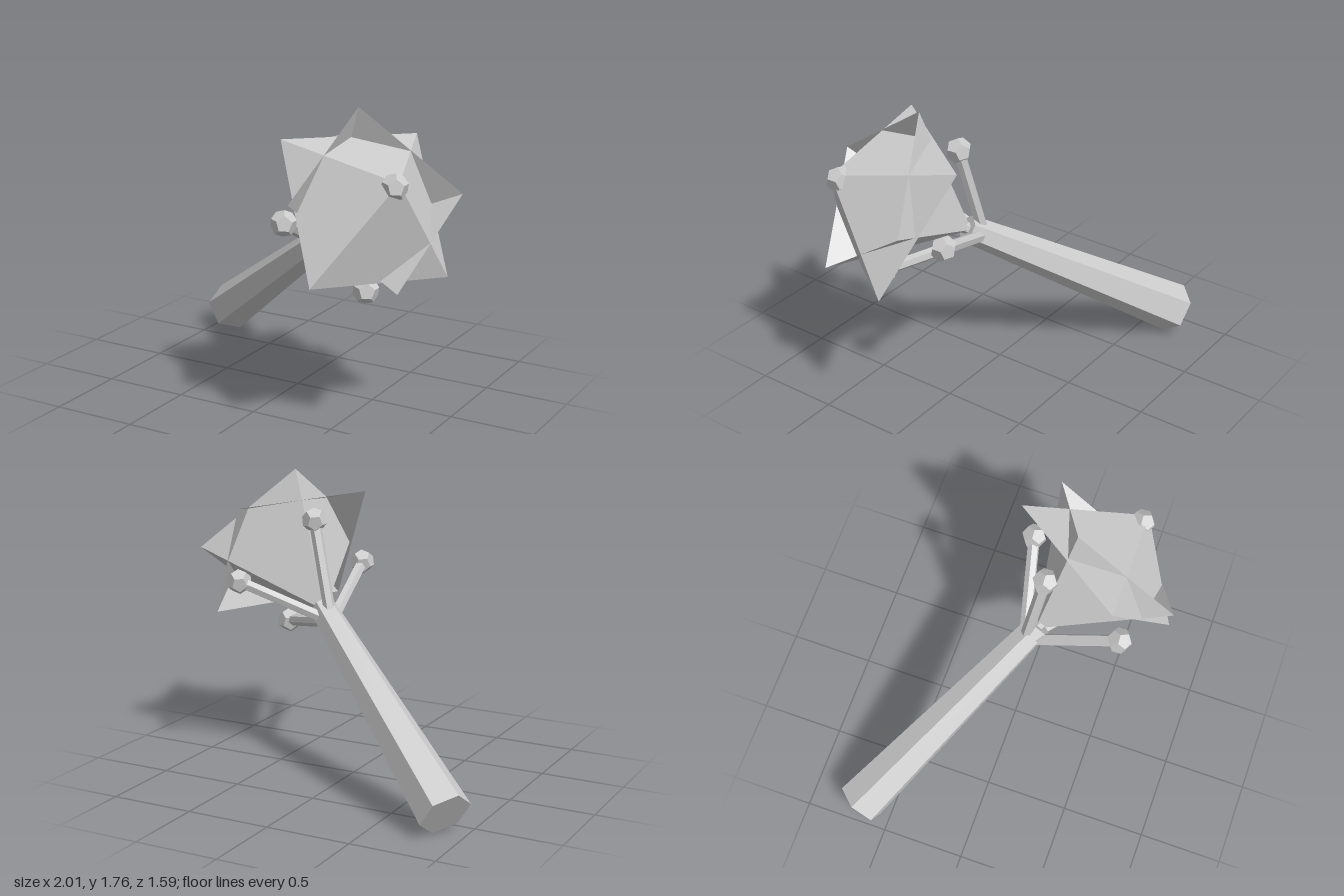
import * as THREE from 'three';

const solid = new THREE.MeshStandardMaterial({ color: 0xcccccc, flatShading: true });
const thin = new THREE.MeshStandardMaterial({ color: 0xcccccc, flatShading: true, side: THREE.DoubleSide });

function addMesh(parent, name, geometry, material = solid) {
  const mesh = new THREE.Mesh(geometry, material);
  mesh.name = name;
  parent.add(mesh);
  return mesh;
}

// Tapered rod between two points
function addRod(parent, name, from, to, r0, r1, sides) {
  const dir = to.clone().sub(from);
  const rod = addMesh(parent, name, new THREE.CylinderGeometry(r1, r0, dir.length(), sides));
  rod.position.copy(from).addScaledVector(dir, 0.5);
  rod.quaternion.setFromUnitVectors(new THREE.Vector3(0, 1, 0), dir.normalize());
  return rod;
}

export function createModel() {
  const group = new THREE.Group();
  group.name = 'flower';

  // The flower is built upright along y, then leaned over
  const plant = new THREE.Group();
  plant.name = 'leaningFlower';
  group.add(plant);

  // Stem: tapered six-sided rod
  const stem = addMesh(plant, 'stem', new THREE.CylinderGeometry(0.08, 0.152, 1.6, 6));
  stem.position.y = 0.8;

  // Petals opening forward: hollow four-sided cup
  const cupHeight = 0.68;
  const cup = addMesh(plant, 'petalCup', new THREE.ConeGeometry(0.525, cupHeight, 4, 1, true), thin);
  cup.rotation.set(Math.PI, Math.PI / 4, 0);
  cup.position.y = 2.25 - cupHeight / 2;

  // Petals folding back: four-sided hood crossing the cup
  const hoodHeight = 0.42;
  const hood = addMesh(plant, 'petalHood', new THREE.ConeGeometry(0.59, hoodHeight, 4, 1, true), thin);
  hood.position.y = 2.09 + hoodHeight / 2;

  // Four side stamens around the neck
  const ball = new THREE.DodecahedronGeometry(0.075);
  for (let i = 0; i < 4; i++) {
    const a = Math.PI / 4 + i * Math.PI / 2;
    const at = (r, y) => new THREE.Vector3(r * Math.sin(a), y, r * Math.cos(a));
    const stamen = new THREE.Group();
    stamen.name = 'sideStamen' + (i + 1);
    plant.add(stamen);
    addRod(stamen, 'filament', at(0.03, 1.51), at(0.41, 1.916), 0.035, 0.035, 6);
    addMesh(stamen, 'anther', ball).position.copy(at(0.41, 1.916));
  }

  // Central stamen at the tip of the hood
  addRod(plant, 'centreFilament', new THREE.Vector3(0, 1.58, 0), new THREE.Vector3(0, 2.45, 0), 0.035, 0.035, 6);
  addMesh(plant, 'centreAnther', ball).position.y = 2.455;

  // Lean: stem foot on the ground, head up, left and forward
  const up = new THREE.Vector3(0.714, 0.526, 0.462).normalize();
  const front = new THREE.Vector3(-0.12, -0.57, 0.82);
  front.addScaledVector(up, -front.dot(up)).normalize();
  const side = new THREE.Vector3().crossVectors(up, front);
  plant.quaternion.setFromRotationMatrix(new THREE.Matrix4().makeBasis(side, up, front));
  plant.position.set(-0.907, 0.128, -0.68);

  return group;
}
